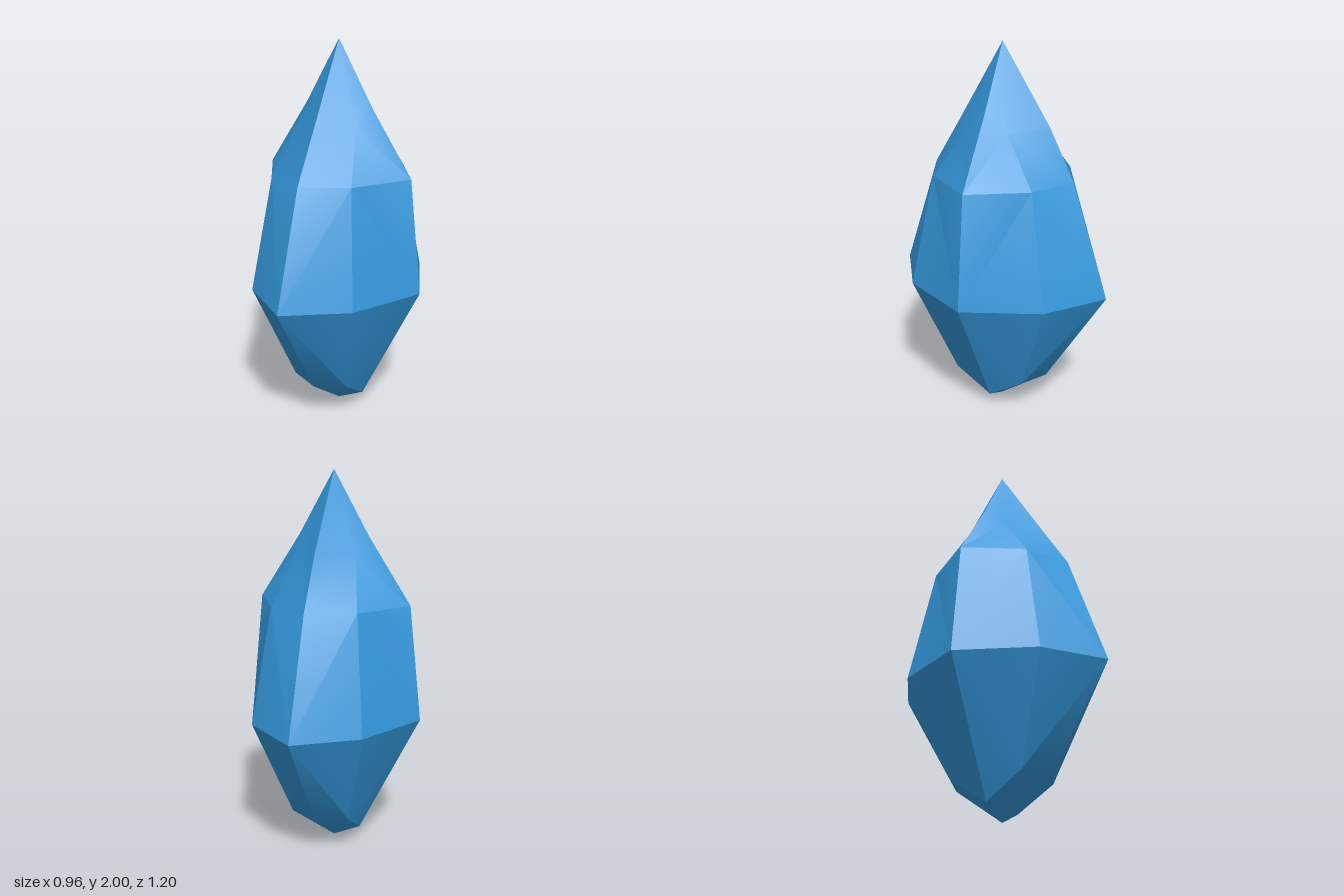
import * as THREE from 'three';
import { toCreasedNormals } from 'three/addons/utils/BufferGeometryUtils.js';

// Each ring has eight corners: side [x, y], diagonal [x, y, z], front [y, z], back [y, z]
const RINGS = [
  { side: [0.15, 0.07], diagonal: [0.16, 0.2, 0.2], front: [0.19, 0.27], back: [0.19, -0.27] },
  { side: [0.48, 0.73], diagonal: [0.3, 0.73, 0.385], front: [0.73, 0.6], back: [0.73, -0.6] },
  { side: [0.415, 1.33], diagonal: [0.23, 1.33, 0.28], front: [1.33, 0.4], back: [1.33, -0.4] },
  { side: [0.19, 1.67], diagonal: [0.16, 1.58, 0.11], front: [1.57, 0.255], back: [1.595, -0.265] },
];
const WAIST = 1;

// Corners in order from +x towards +z
function ringCorners({ side: [sx, sy], diagonal: [dx, dy, dz], front, back }) {
  return [
    [sx, sy, 0], [dx, dy, dz], [0, ...front], [-dx, dy, dz],
    [-sx, sy, 0], [-dx, dy, -dz], [0, ...back], [dx, dy, -dz],
  ];
}

function crystalGeometry() {
  const rings = RINGS.map(ringCorners);
  const tip = [0, 2, 0];
  const foot = [0, 0, 0];
  const positions = [];
  const face = (...corners) => corners.forEach((c) => positions.push(...c));

  for (let i = 0; i < 8; i++) {
    const j = (i + 1) % 8;

    // Pointed ends
    face(foot, rings[0][i], rings[0][j]);
    face(rings[3][i], tip, rings[3][j]);

    // Facet bands, split so that each fold bulges outwards
    for (let r = 0; r < rings.length - 1; r++) {
      const low = rings[r];
      const high = rings[r + 1];
      const fromLowI = (i % 2 === 0) === (r >= WAIST);
      if (fromLowI) {
        face(low[i], high[i], high[j]);
        face(low[i], high[j], low[j]);
      } else {
        face(low[i], high[i], low[j]);
        face(high[i], high[j], low[j]);
      }
    }
  }

  const geometry = new THREE.BufferGeometry();
  geometry.setAttribute('position', new THREE.Float32BufferAttribute(positions, 3));
  return toCreasedNormals(geometry, 0.45);
}

export function createModel() {
  const group = new THREE.Group();
  group.name = 'crystal';
  const gem = new THREE.Mesh(crystalGeometry(), new THREE.MeshStandardMaterial({ color: 0x3498db }));
  gem.name = 'crystalBody';
  group.add(gem);
  return group;
}
